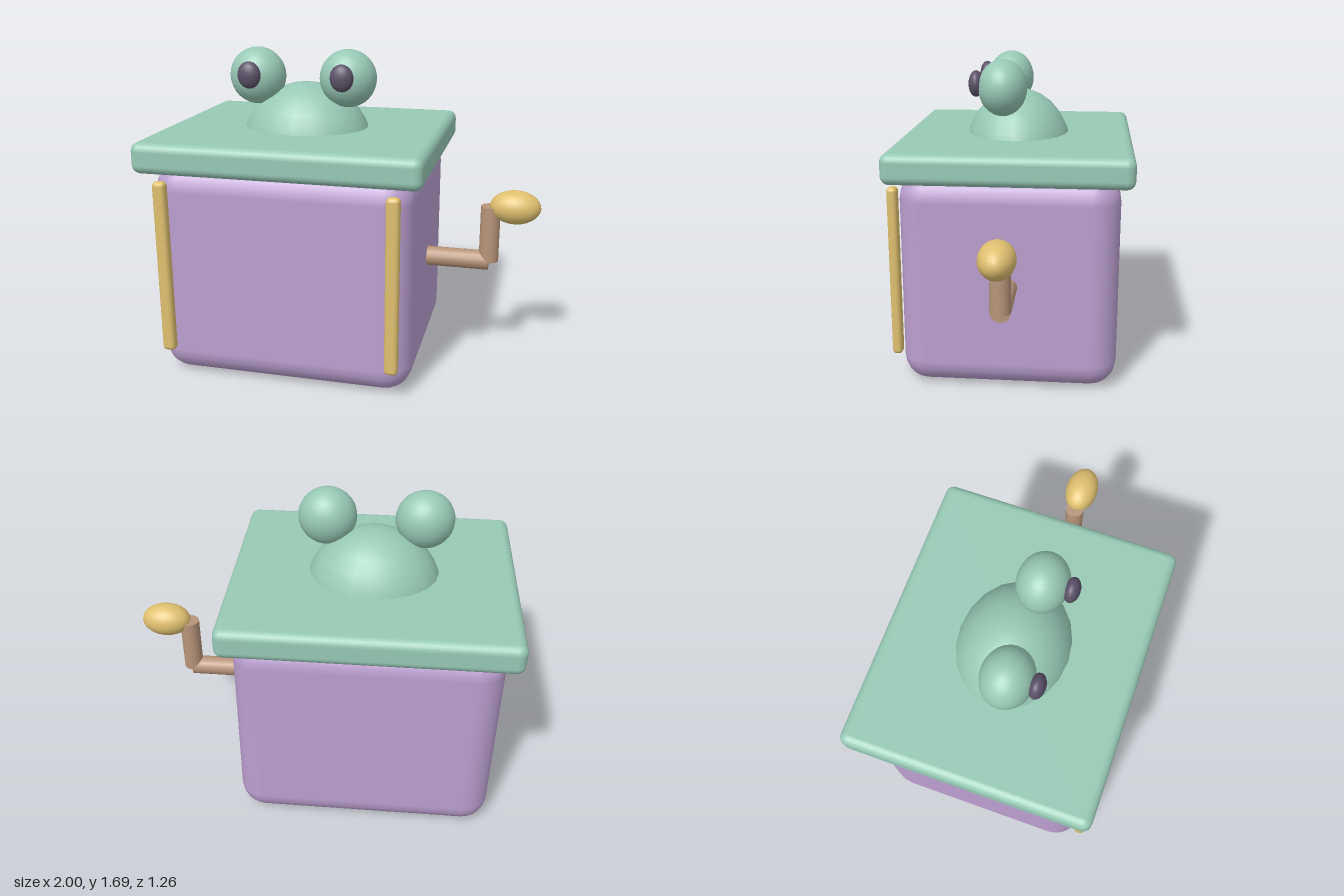
import * as THREE from 'three';
import { RoundedBoxGeometry } from 'three/addons/geometries/RoundedBoxGeometry.js';

const mat = (color) => new THREE.MeshStandardMaterial({ color });

export function createModel() {
  const model = new THREE.Group();
  const green = mat(0x97c9b5), purple = mat(0xbb9fd0), gold = mat(0xe0c070);
  const brown = mat(0xb8957a), dark = mat(0x5c5268);
  const cx = -0.265; // box centre line

  const add = (name, geometry, material, x, y, z) => {
    const mesh = new THREE.Mesh(geometry, material);
    mesh.name = name;
    mesh.position.set(x, y, z);
    model.add(mesh);
    return mesh;
  };
  const ellipsoid = (rx, ry, rz, w = 24, h = 16) =>
    new THREE.SphereGeometry(1, w, h).scale(rx, ry, rz);

  // Box and overhanging lid
  add('boxBody', new RoundedBoxGeometry(1.35, 1.15, 1.14, 3, 0.14), purple, cx, 0.575, 0);
  add('lid', new RoundedBoxGeometry(1.47, 0.16, 1.265, 3, 0.045), green, cx, 1.19, 0);

  // Head emerging from the lid
  add('head', ellipsoid(0.36, 0.365, 0.302, 20, 14), green, cx, 1.14, 0);

  // Mirrored eyes and front trim strips
  for (const [side, s] of [['right', -1], ['left', 1]]) {
    const ex = cx + s * 0.246;
    add(side + 'Eye', ellipsoid(0.15, 0.15, 0.13), green, ex, 1.54, 0.063);
    add(side + 'Pupil', ellipsoid(0.062, 0.07, 0.04, 20, 12), dark, ex, 1.56, 0.205);
    add(side + 'TrimStrip', new RoundedBoxGeometry(0.07, 0.92, 0.055, 2, 0.022), gold,
      cx + s * 0.594, 0.615, 0.597);
  }

  // Side crank
  const axle = add('crankAxle', new THREE.CylinderGeometry(0.052, 0.052, 0.4, 16), brown, 0.54, 0.577, 0);
  axle.rotation.z = Math.PI / 2;
  add('crankArm', new THREE.CylinderGeometry(0.052, 0.052, 0.305, 16), brown, 0.74, 0.73, 0);
  add('crankKnob', ellipsoid(0.133, 0.09, 0.09), gold, 0.867, 0.885, 0);

  return model;
}
